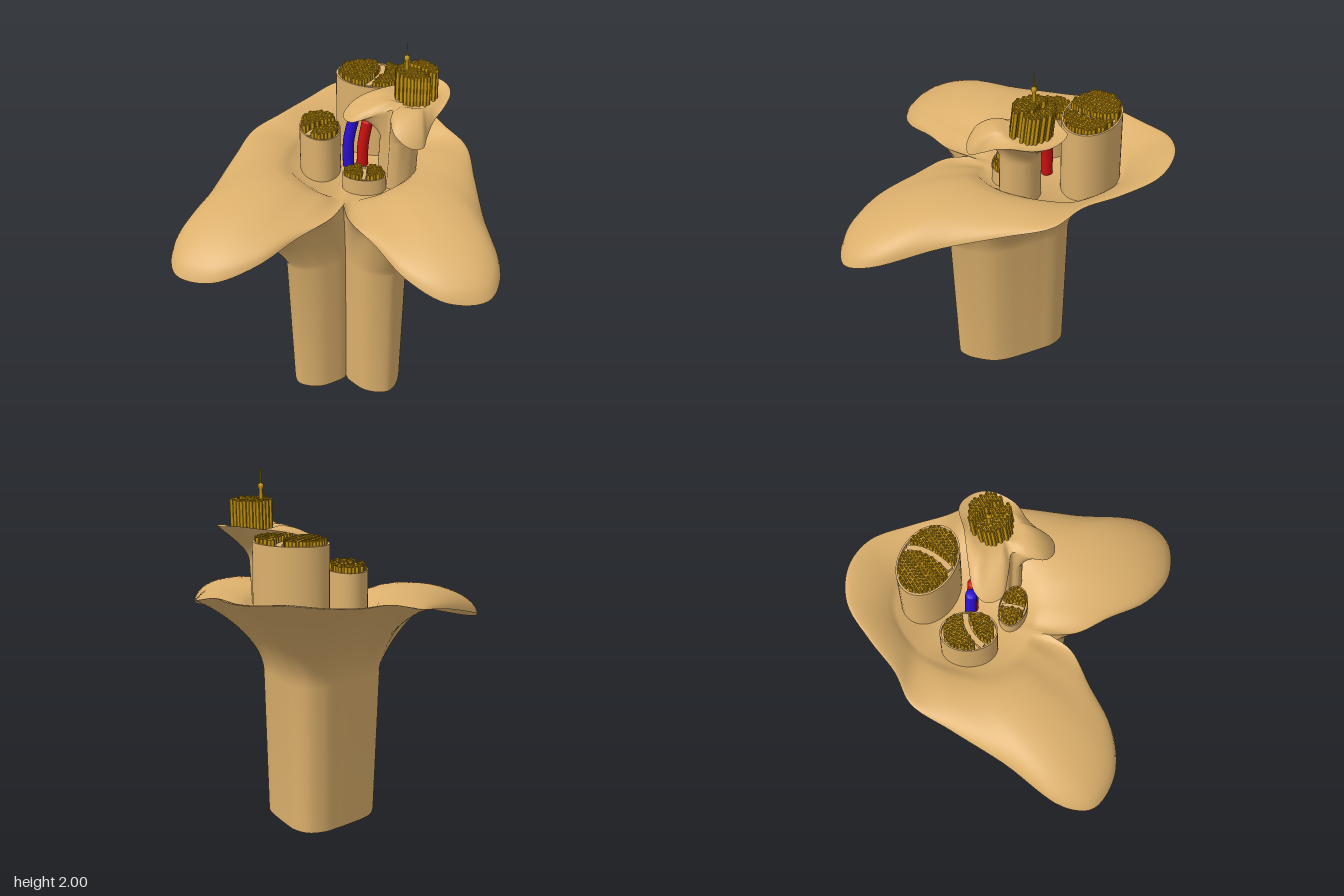
import * as THREE from 'three';
import { mergeGeometries, toCreasedNormals } from 'three/addons/utils/BufferGeometryUtils.js';

const V = (x, y, z) => new THREE.Vector3(x, y, z);
const lerp = THREE.MathUtils.lerp;

// Skin a stack of closed rings (bottom to top, counter-clockwise from above)
function loft(rings) {
  const n = rings[0].length, pos = [], idx = [];
  rings.forEach(r => r.forEach(p => pos.push(p.x, p.y, p.z)));
  for (let r = 0; r < rings.length - 1; r++) {
    for (let c = 0; c < n; c++) {
      const a = r * n + c, b = r * n + (c + 1) % n;
      idx.push(a, b, b + n, a, b + n, a + n);
    }
  }
  const g = new THREE.BufferGeometry();
  g.setAttribute('position', new THREE.Float32BufferAttribute(pos, 3));
  g.setIndex(idx);
  return toCreasedNormals(g, 0.95);
}

// Smooth ring through points; index spacing keeps the rings matched
function smoothRing(pts, steps) {
  const curve = new THREE.CatmullRomCurve3(pts, true, 'centripetal');
  const n = pts.length * steps;
  return Array.from({ length: n }, (_, i) => curve.getPoint(i / n));
}

// Half ring mirrored across x = 0: sharp at the front notch, round at the back
function mirroredRing(pts, steps) {
  const last = pts[pts.length - 2];
  const curve = new THREE.CatmullRomCurve3([...pts, V(-last.x, last.y, last.z)], false, 'centripetal');
  const half = curve.getPoints(pts.length * steps).slice(0, (pts.length - 1) * steps + 1);
  return [...half, ...half.slice(1, -1).reverse().map(p => V(-p.x, p.y, p.z))];
}

// Outer trunk, heart-shaped in section, opening into a wide collar with two drooping front flaps
function trunkGeometry() {
  const rim = [[0, 1.235, 0.29], [0.05, 1.23, 0.42], [0.2, 1.19, 0.565], [0.38, 1.12, 0.74], [0.6, 1.05, 0.82],
    [0.8, 1.04, 0.76], [0.85, 1.09, 0.6], [0.74, 1.19, 0.25], [0.665, 1.26, -0.06], [0.6, 1.31, -0.3],
    [0.47, 1.355, -0.425], [0.345, 1.37, -0.6], [0.19, 1.4, -0.775], [0, 1.42, -0.83]].map(p => V(...p));
  const foot = [[0, 0.2], [0.012, 0.225], [0.06, 0.27], [0.12, 0.31], [0.19, 0.322], [0.257, 0.305], [0.29, 0.25],
    [0.3, 0.17], [0.295, 0.09], [0.265, 0.02], [0.21, -0.06], [0.15, -0.14], [0.085, -0.215], [0, -0.25]];
  const under = [0, 0.02, 0.08, 0.15, 0.18, 0.19, 0.17, 0.13, 0.06, 0.01, 0, 0, 0, 0];
  const over = [0, 0, 0.05, 0.1, 0.16, 0.18, 0.16, 0.11, 0.07, 0.03, 0.02, 0.025, 0.03, 0.035];
  const floor = rim.map((_, i) => {
    const a = Math.PI * Math.pow(i / 13, 1.25);
    return V(0.31 * Math.sin(a), 1.23 - 0.025 * Math.cos(a), -0.19 + 0.37 * Math.cos(a));
  });
  const ring = f => mirroredRing(rim.map((_, i) => f(i)), 6);
  const rings = [ring(i => V(0, 0, 0.04 - i * 1e-6)), ring(i => V(foot[i][0], 0, foot[i][1]))];
  for (let k = 0; k <= 14; k++) {
    const u = k / 14, h = Math.pow(u, 1.65);
    rings.push(ring(i => V(
      lerp(foot[i][0] * 1.09, rim[i].x, h),
      0.84 + (rim[i].y - 0.84) * u + under[i] * 6.75 * u * u * (1 - u),
      lerp(foot[i][1] * 1.08, rim[i].z, h))));
  }
  for (let k = 1; k <= 14; k++) {
    const v = Math.pow(k / 14, 1.5);
    rings.push(ring(i => {
      const p = rim[i].clone().lerp(floor[i], v);
      p.y += over[i] * Math.pow(4 * v * (1 - v), 0.45 + 0.3 * (i / 13));
      return p;
    }));
  }
  rings.push(ring(i => V(0, 1.23, -0.19 - i * 1e-6)));
  return loft(rings);
}

// Small trunk that leans back and opens into its own collar
function branchGeometry() {
  const rim = [[0.26, 1.7, -0.26], [0.1, 1.67, -0.19], [-0.02, 1.62, -0.125], [-0.05, 1.585, -0.05], [0, 1.585, 0.02],
    [0.12, 1.63, 0.02], [0.22, 1.67, 0.01], [0.22, 1.66, 0.09], [0.25, 1.62, 0.18], [0.33, 1.565, 0.21],
    [0.4, 1.55, 0.18], [0.415, 1.58, 0.11], [0.44, 1.63, 0.03], [0.49, 1.68, -0.05], [0.51, 1.7, -0.18],
    [0.47, 1.71, -0.27], [0.37, 1.72, -0.32]].map(p => V(...p));
  const dome = [0, 0.02, 0.04, 0.04, 0.04, 0.03, 0, 0.02, 0.04, 0.06, 0.06, 0.04, 0.02, 0, -0.01, -0.01, 0];
  const oval = (i, x, y, z, rx, rz) => {
    const a = Math.atan2(rim[i].z + 0.1, rim[i].x - 0.3), s = i === 6 ? 0.8 : 1;
    return V(x + rx * s * Math.cos(a), y, z + rz * s * Math.sin(a));
  };
  const ring = f => smoothRing(rim.map((_, i) => f(i)), 5);
  const rings = [ring(i => oval(i, 0.24, 1.19, -0.05, 0.105, 0.11))];
  for (let k = 0; k <= 10; k++) {
    const u = k / 10, h = Math.pow(u, 1.8);
    rings.push(ring(i => {
      const p = oval(i, 0.255, 1.49, -0.055, 0.105, 0.11);
      return V(lerp(p.x, rim[i].x, h),
        1.49 + (rim[i].y - 1.49) * u + dome[i] * 6 * u * u * (1 - u),
        lerp(p.z, rim[i].z, h));
    }));
  }
  for (let k = 1; k <= 8; k++) {
    const v = Math.pow(k / 8, 1.4);
    rings.push(ring(i => {
      const p = rim[i].clone().lerp(oval(i, 0.33, 1.685, -0.13, 0.11, 0.125), v);
      p.y += dome[i] * Math.pow(4 * v * (1 - v), 0.7);
      return p;
    }));
  }
  rings.push(ring(i => V(0.33 + i * 1e-6, 1.685, -0.13)));
  return loft(rings);
}

// Hex-packed hollow fibres in an oval, leaving a gap along the septum
function fibreGeometry(o, septum) {
  const r = 0.0105, h = o.fibreTop - o.fibreBase, d = 0.0198, parts = [];
  const profile = [[r, 0], [r, h], [r * 0.5, h], [r * 0.5, h - 0.02], [0, h - 0.02]].map(p => new THREE.Vector2(...p));
  const one = toCreasedNormals(new THREE.LatheGeometry(profile, 8), 0.9).rotateX(-o.lean);
  const rx = o.rx * o.fill - r, rz = o.rz * o.fill - r, c = Math.cos(o.turn), s = Math.sin(o.turn);
  for (let j = -14; j <= 14; j++) {
    for (let i = -14; i <= 14; i++) {
      const x = (i + (j & 1 ? 0.5 : 0)) * d, z = j * d * 0.866;
      if ((x / rx) ** 2 + (z / rz) ** 2 > 1.04) continue;
      const px = o.x + x * c + z * s, pz = o.z - x * s + z * c;
      if (septum.some(q => Math.hypot(q.x - px, q.y - pz) < o.gap + r * 0.7)) continue;
      parts.push(one.clone().translate(px, o.fibreBase + 0.002 * Math.sin(i * 5 + j * 3), pz));
    }
  }
  return mergeGeometries(parts);
}

// Oval casing with a thin raised lip
function casingGeometry(o) {
  const h = o.top - o.base;
  const pts = [[1, 0], [1, h], [0.94, h], [0.94, h - 0.03], [0, h - 0.03]].map(p => new THREE.Vector2(...p));
  const g = new THREE.LatheGeometry(pts, 48);
  g.scale(o.rx, 1, o.rz).rotateY(o.turn).translate(o.x, o.base, o.z);
  return toCreasedNormals(g, 0.7);
}

// Curved dividing wall
function septumGeometry(line, top, half) {
  const side = w => line.map((p, i) => {
    const t = line[Math.min(i + 1, line.length - 1)].clone().sub(line[Math.max(i - 1, 0)]).normalize();
    return new THREE.Vector2(p.x - t.y * w, -(p.y + t.x * w));
  });
  const shape = new THREE.Shape([...side(half), ...side(-half).reverse()]);
  return new THREE.ExtrudeGeometry(shape, { depth: 0.04, bevelEnabled: false })
    .rotateX(-Math.PI / 2).translate(0, top - 0.042, 0);
}

export function createModel() {
  const mat = (name, color) => Object.assign(new THREE.MeshStandardMaterial({ color }), { name });
  const tan = mat('tan', 0xdcb06c), gold = mat('gold', 0xc4920c), blue = mat('blue', 0x2a0fd0), red = mat('red', 0xcc1010);
  const model = new THREE.Group();
  const add = (name, geo, m, parent = model) => {
    const mesh = new THREE.Mesh(geo, m);
    mesh.name = name;
    parent.add(mesh);
  };
  add('outerSheath', trunkGeometry(), tan);
  add('openedSheath', branchGeometry(), tan);

  // Fibre bundles; the last one stands bare in the opened sheath
  const cased = { fill: 0.94, lean: 0, gap: 0.015, base: 1.2 };
  const bundles = [
    { ...cased, name: 'backBundle', x: 0.065, z: -0.395, rx: 0.208, rz: 0.15, turn: -0.2, base: 1.235, top: 1.66, fibreTop: 1.685, line: [[0.1, -0.52], [0.14, -0.42], [0.05, -0.27]] },
    { ...cased, name: 'rightBundle', x: -0.185, z: -0.105, rx: 0.11, rz: 0.152, turn: 0.35, top: 1.475, fibreTop: 1.505, line: [[-0.095, -0.15], [-0.2, -0.12], [-0.24, -0.01]] },
    { ...cased, name: 'frontBundle', x: 0.08, z: 0.06, rx: 0.118, rz: 0.076, turn: 0, top: 1.3, fibreTop: 1.325, gap: 0.01, line: [[0.07, 0], [0.09, 0.06], [0.08, 0.12]] },
    { name: 'openBundle', x: 0.33, z: -0.125, rx: 0.117, rz: 0.118, turn: -0.3, fill: 1, lean: 0.1, gap: 0.007, fibreTop: 1.843, line: [[0.21, -0.19], [0.37, -0.17], [0.43, -0.03]] },
  ];
  for (const b of bundles) {
    const group = new THREE.Group();
    group.name = b.name;
    model.add(group);
    const line = new THREE.QuadraticBezierCurve(...b.line.map(p => new THREE.Vector2(...p))).getPoints(24);
    b.fibreBase = b.top ? b.top - 0.05 : 1.66;
    add('fibres', fibreGeometry(b, line), gold, group);
    if (b.top) {
      add('casing', casingGeometry(b), tan, group);
      add('septum', septumGeometry(line, b.top, b.gap), tan, group);
    }
  }

  // Single fibre drawn out above the open bundle
  const strand = [[0.011, 1.8], [0.011, 1.86], [0.009, 1.89], [0.016, 1.905], [0.014, 1.92], [0.004, 1.925], [0.003, 2], [0, 2]];
  add('longFibre', new THREE.LatheGeometry(strand.map(p => new THREE.Vector2(...p)), 10).translate(0.278, 0, -0.13), gold);

  // Blood vessels with rounded ends
  const vessel = (name, pts, r, m) => {
    const path = new THREE.CatmullRomCurve3(pts);
    const end = new THREE.SphereGeometry(r, 16, 10).scale(1, 0.4, 1).translate(...path.getPoint(1).toArray());
    add(name, mergeGeometries([new THREE.TubeGeometry(path, 24, r, 16), end]), m);
  };
  vessel('blueVessel', [V(-0.035, 1.21, -0.14), V(-0.033, 1.38, -0.142), V(-0.005, 1.525, -0.145)], 0.031, blue);
  vessel('redVessel', [V(0.04, 1.21, -0.155), V(0.045, 1.36, -0.155), V(0.068, 1.5, -0.155)], 0.031, red);
  return model;
}
